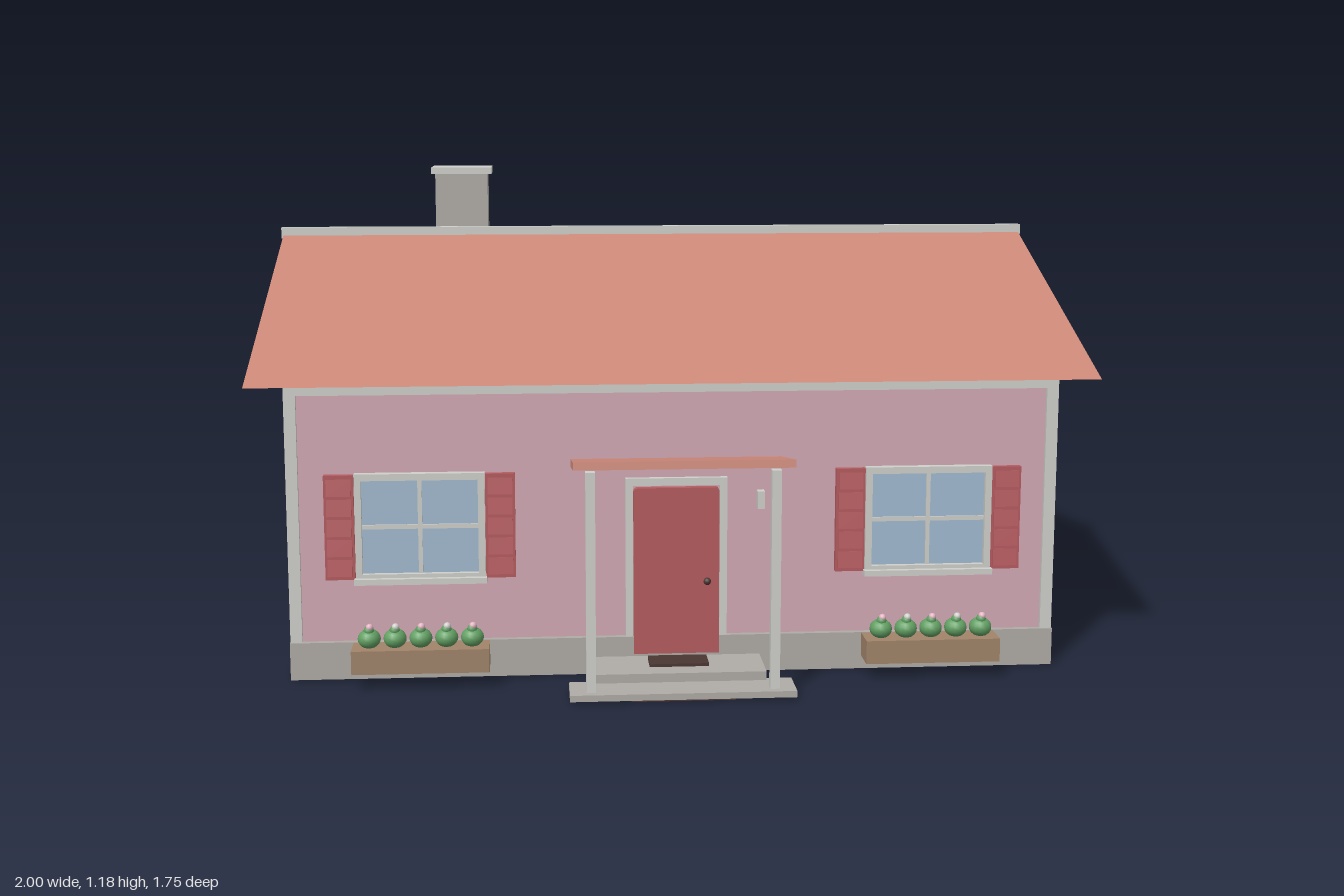
import * as THREE from 'three';

const paint = (name, color) => {
  const m = new THREE.MeshStandardMaterial({ color });
  m.name = name;
  return m;
};

export function createModel() {
  const house = new THREE.Group();
  house.name = 'house';
  const pink = paint('pink wall', 0xd2a9b5);
  const tile = paint('roof tile', 0xcb8778);
  const trim = paint('pale trim', 0xcfcfcb);
  const stone = paint('grey stone', 0xafaba6);
  const red = paint('red paint', 0xb55b5f);
  const glass = paint('window glass', 0xa1bad0);
  const wood = paint('wood', 0xa1846a);
  const green = paint('leaf green', 0x62a063);
  const bloom = paint('flower pink', 0xe3b3c3);
  const dark = paint('dark metal', 0x4a3633);

  const add = (name, geo, mat, x, y, z, parent = house) => {
    const mesh = new THREE.Mesh(geo, mat);
    mesh.name = name;
    mesh.position.set(x, y, z);
    parent.add(mesh);
    return mesh;
  };
  // Box given by its limits on each axis
  const box = (name, mat, [x0, x1], [y0, y1], [z0, z1], parent) =>
    add(name, new THREE.BoxGeometry(x1 - x0, y1 - y0, z1 - z0), mat,
      (x0 + x1) / 2, (y0 + y1) / 2, (z0 + z1) / 2, parent);
  const group = (name, x = 0, y = 0, z = 0) => {
    const g = new THREE.Group();
    g.name = name;
    g.position.set(x, y, z);
    house.add(g);
    return g;
  };
  // Rectangular frame standing in the xy plane
  const frameGeo = (w, h, t, depth) => {
    const rect = (Kind, a, b) => new Kind([[-a, -b], [a, -b], [a, b], [-a, b]]
      .map(([x, y]) => new THREE.Vector2(x, y)));
    const s = rect(THREE.Shape, w / 2, h / 2);
    s.holes.push(rect(THREE.Path, w / 2 - t, h / 2 - t));
    return new THREE.ExtrudeGeometry(s, { depth, bevelEnabled: false });
  };

  // Body: foundation, walls, corner boards and the band under the eaves
  const front = 0.635, back = -0.795;
  box('foundation', stone, [-0.915, 0.915], [0, 0.09], [back - 0.002, 0.64]);
  box('walls', pink, [-0.905, 0.905], [0.08, 0.71], [back + 0.01, front - 0.01]);
  for (const sx of [-1, 1]) {
    for (const z of [front - 0.014, back + 0.014]) {
      add('cornerBoard', new THREE.BoxGeometry(0.028, 0.62, 0.028), trim, sx * 0.9, 0.4, z);
    }
    add('sideEavesBand', new THREE.BoxGeometry(0.012, 0.03, 1.39), trim, sx * 0.906, 0.695, -0.08);
  }
  for (const z of [front - 0.006, back + 0.006]) {
    add('eavesBand', new THREE.BoxGeometry(1.79, 0.03, 0.012), trim, 0, 0.695, z);
  }

  // Roof: a solid gable prism with a ridge cap
  const gable = new THREE.Shape([
    new THREE.Vector2(-0.705, 0.71), new THREE.Vector2(0.872, 0.71), new THREE.Vector2(0.083, 1.007),
  ]);
  const roofGeo = new THREE.ExtrudeGeometry(gable, { depth: 1.99, bevelEnabled: false });
  roofGeo.translate(0, 0, -0.995).rotateY(Math.PI / 2);
  add('roof', roofGeo, tile, 0, 0, 0);
  box('ridgeCap', trim, [-1, 1], [0.995, 1.024], [-0.095, -0.071]);

  // Chimney
  box('chimney', stone, [-0.599, -0.455], [0.86, 1.16], [-0.392, -0.252]);
  box('chimneyCap', trim, [-0.61, -0.444], [1.158, 1.176], [-0.406, -0.24]);

  // Porch: slab, front step, posts and sloping canopy
  box('porchSlab', stone, [-0.2, 0.2], [0.004, 0.042], [0.63, 0.78]);
  box('porchStep', stone, [-0.26, 0.26], [0.006, 0.021], [0.765, 0.865]);
  box('stepFoot', dark, [-0.12, 0.12], [0, 0.007], [0.76, 0.855]);
  for (const x of [-0.211, 0.211]) {
    box('porchPost', trim, [x - 0.011, x + 0.011], [0.02, 0.532], [0.824, 0.846]);
  }
  const canopy = add('canopy', new THREE.BoxGeometry(0.5, 0.018, 0.256), tile, 0, 0.532, 0.747);
  canopy.rotation.x = -0.16;

  // Door with rounded corners, frame, panel lines, knob and mat
  const doorGroup = group('door', 0, 0.26, 0.625);
  add('doorFrame', frameGeo(0.242, 0.434, 0.018, 0.014), trim, 0, -0.002, 0, doorGroup);
  const w = 0.102, h = 0.202, r = 0.012;
  const doorShape = new THREE.Shape();
  doorShape.moveTo(-w, -h).lineTo(w, -h).lineTo(w, h - r).quadraticCurveTo(w, h, w - r, h)
    .lineTo(r - w, h).quadraticCurveTo(-w, h, -w, h - r).closePath();
  add('doorLeaf', new THREE.ExtrudeGeometry(doorShape, { depth: 0.018, bevelEnabled: false }),
    red, 0, -0.01, 0, doorGroup);
  add('doorKnob', new THREE.SphereGeometry(0.009, 12, 8), dark, 0.073, -0.035, 0.023, doorGroup);
  box('doorMat', dark, [-0.07, 0.07], [0.042, 0.049], [0.66, 0.73]);

  // Wall lamp beside the porch
  box('wallLamp', trim, [0.192, 0.209], [0.4, 0.442], [0.62, 0.652]);

  for (const sx of [-1, 1]) {
    // Window: glass, frame, glazing bars, sill
    const win = group('window', sx * 0.604, 0.367, 0.625);
    add('glass', new THREE.BoxGeometry(0.29, 0.24, 0.008), glass, 0, 0, 0.003, win);
    add('windowFrame', frameGeo(0.304, 0.256, 0.016, 0.02), trim, 0, 0, 0, win);
    add('upright', new THREE.BoxGeometry(0.01, 0.23, 0.012), trim, 0, 0, 0.006, win);
    add('crossbar', new THREE.BoxGeometry(0.28, 0.01, 0.012), trim, 0, 0, 0.006, win);
    add('sill', new THREE.BoxGeometry(0.31, 0.014, 0.034), trim, 0, -0.128, 0.016, win);

    // Slatted shutters
    for (const side of [-1, 1]) {
      const x = side * 0.188;
      add('shutter', new THREE.BoxGeometry(0.07, 0.25, 0.016), red, x, 0, 0.008, win);
      for (let i = 0; i < 5; i++) {
        const slat = add('shutterSlat', new THREE.BoxGeometry(0.058, 0.04, 0.006), red,
          x, -0.096 + i * 0.048, 0.018, win);
        slat.rotation.x = -0.12;
      }
    }

    // Flower box with five round plants
    const planter = group('flowerBox', sx * 0.604, 0.066, 0.693);
    add('planter', new THREE.BoxGeometry(0.32, 0.056, 0.074), wood, 0, 0, 0, planter);
    for (let i = -2; i <= 2; i++) {
      const bush = add('plant', new THREE.SphereGeometry(0.027, 14, 10), green, i * 0.06, 0.048, 0, planter);
      bush.scale.y = 0.85;
      add('plantTop', new THREE.SphereGeometry(0.012, 10, 8), green, i * 0.06, 0.069, 0.006, planter);
      add('flower', new THREE.SphereGeometry(0.009, 10, 8), i % 2 ? trim : bloom,
        i * 0.06 + 0.002, 0.077, 0.008, planter);
    }
  }
  return house;
}
